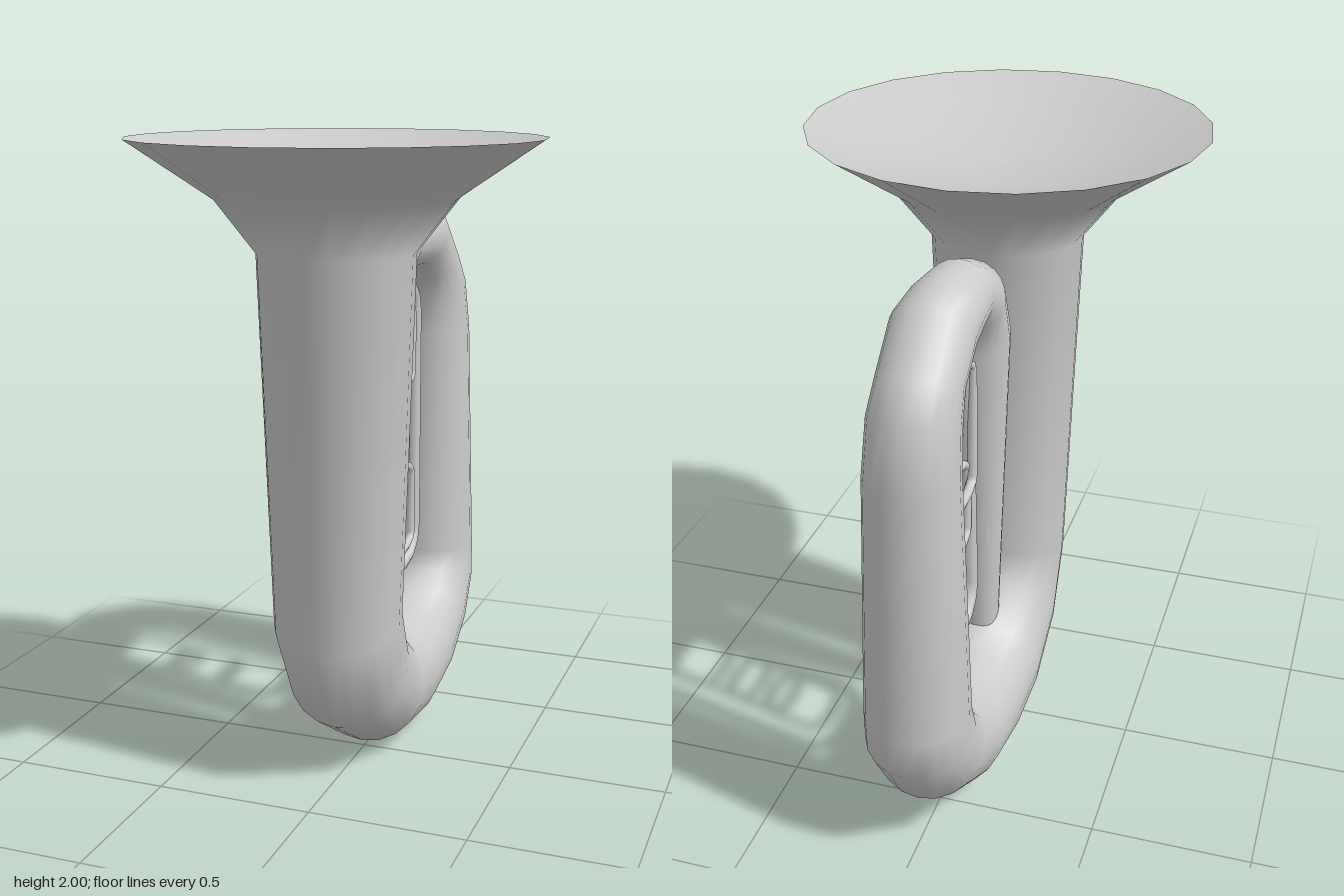
import * as THREE from 'three';

const material = new THREE.MeshStandardMaterial({ color: 0xcccccc });
const dishMaterial = new THREE.MeshStandardMaterial({ color: 0xcccccc, side: THREE.DoubleSide });

// Sweeps a round section through stations [zOuter, yOuter, zInner, yInner] lying in a plane of constant x.
function sweep(name, stations, sides, x = 0, closed = false) {
  const pos = [], index = [], n = stations.length;
  stations.forEach(([zo, yo, zi, yi]) => {
    const radius = Math.hypot(zo - zi, yo - yi) / 2;
    for (let j = 0; j < sides; j++) {
      const a = (j / sides) * Math.PI * 2, k = Math.cos(a) / 2;
      pos.push(x + Math.sin(a) * radius, (yo + yi) / 2 + (yo - yi) * k, (zo + zi) / 2 + (zo - zi) * k);
    }
  });
  for (let i = 0; i < (closed ? n : n - 1); i++) {
    for (let j = 0; j < sides; j++) {
      const next = ((i + 1) % n) * sides, j1 = (j + 1) % sides;
      const a = i * sides + j, b = i * sides + j1, c = next + j, d = next + j1;
      index.push(a, c, b, b, c, d);
    }
  }
  const geometry = new THREE.BufferGeometry();
  geometry.setAttribute('position', new THREE.Float32BufferAttribute(pos, 3));
  geometry.setIndex(index);
  geometry.computeVertexNormals();
  const mesh = new THREE.Mesh(geometry, material);
  mesh.name = name;
  return mesh;
}

// Closed thin tube round a rectangle with elliptical corners (Rz, Ry);
// zl is [top, bottom] of the front leg, zr the back leg.
function loop(name, x, zl, zr, y0, y1, Rz, Ry, r) {
  const corners = [[zr + Rz, y1 - Ry], [zl[0] - Rz, y1 - Ry], [zl[1] - Rz, y0 + Ry], [zr + Rz, y0 + Ry]];
  const stations = [];
  corners.forEach(([cz, cy], q) => {
    for (let k = 0; k <= 3; k++) {
      const a = (q + k / 3) * Math.PI / 2, c = Math.cos(a), s = Math.sin(a);
      stations.push([cz - c * (Rz + r), cy + s * (Ry + r), cz - c * (Rz - r), cy + s * (Ry - r)]);
    }
  });
  return sweep(name, stations, 8, x, true);
}

export function createModel() {
  const group = new THREE.Group();
  group.name = 'brassHorn';

  // Bell, bottom bow, rear branch, top bow and tapering leadpipe as one tube
  group.add(sweep('mainTube', [
    [0.85, 2, -0.374, 2],
    [0.60, 1.83, -0.12, 1.83],
    [0.478, 1.67, 0.005, 1.67],
    [0.43, 0.47, 0.05, 0.6],
    [0.27, 0.18, 0.03, 0.5],
    [0.025, 0.028, -0.08, 0.405],
    [-0.23, 0, -0.2, 0.375],
    [-0.49, 0.05, -0.33, 0.375],
    [-0.71, 0.18, -0.46, 0.42],
    [-0.83, 0.36, -0.51, 0.46],
    [-0.85, 0.50, -0.53, 0.52],
    [-0.825, 1.30, -0.55, 1.30],
    [-0.78, 1.50, -0.53, 1.42],
    [-0.71, 1.60, -0.49, 1.49],
    [-0.55, 1.75, -0.42, 1.54],
    [-0.40, 1.77, -0.35, 1.545],
    [-0.25, 1.76, -0.27, 1.55],
    [-0.12, 1.71, -0.21, 1.51],
    [0.005, 1.50, -0.185, 1.42],
    [0.015, 0.39, -0.095, 0.39],
  ], 20));

  // Shallow dish closing the bell
  const profile = [0, 0.15, 0.3, 0.45, 0.612].map(
    (r) => new THREE.Vector2(r, 0.12 * ((r / 0.612) ** 2 - 1)));
  const dish = new THREE.Mesh(new THREE.LatheGeometry(profile, 20), dishMaterial);
  dish.position.set(0, 2, 0.238);
  dish.name = 'bellMouth';
  group.add(dish);

  // Cap on the lower end of the leadpipe
  const cap = new THREE.Mesh(new THREE.CircleGeometry(0.055, 20), material);
  cap.rotation.x = Math.PI / 2;
  cap.position.set(0, 0.39, -0.04);
  cap.name = 'leadpipeEnd';
  group.add(cap);

  // Long slide loop framing the valve loops
  group.add(loop('slideLoop', 0, [-0.2, -0.165], -0.504, 0.52, 1.5, 0.12, 0.11, 0.025));

  // Overlapping valve loops, stepped sideways so they pass each other
  [
    [0.02, 1.155, 1.44], [-0.02, 1.0, 1.44], [0, 0.81, 1.1], [0.02, 0.585, 0.88],
  ].forEach(([x, y0, y1], i) => {
    group.add(loop('valveLoop' + (i + 1), x, [-0.202, -0.202], -0.415, y0, y1, 0.09, 0.045, 0.016));
  });
  return group;
}
